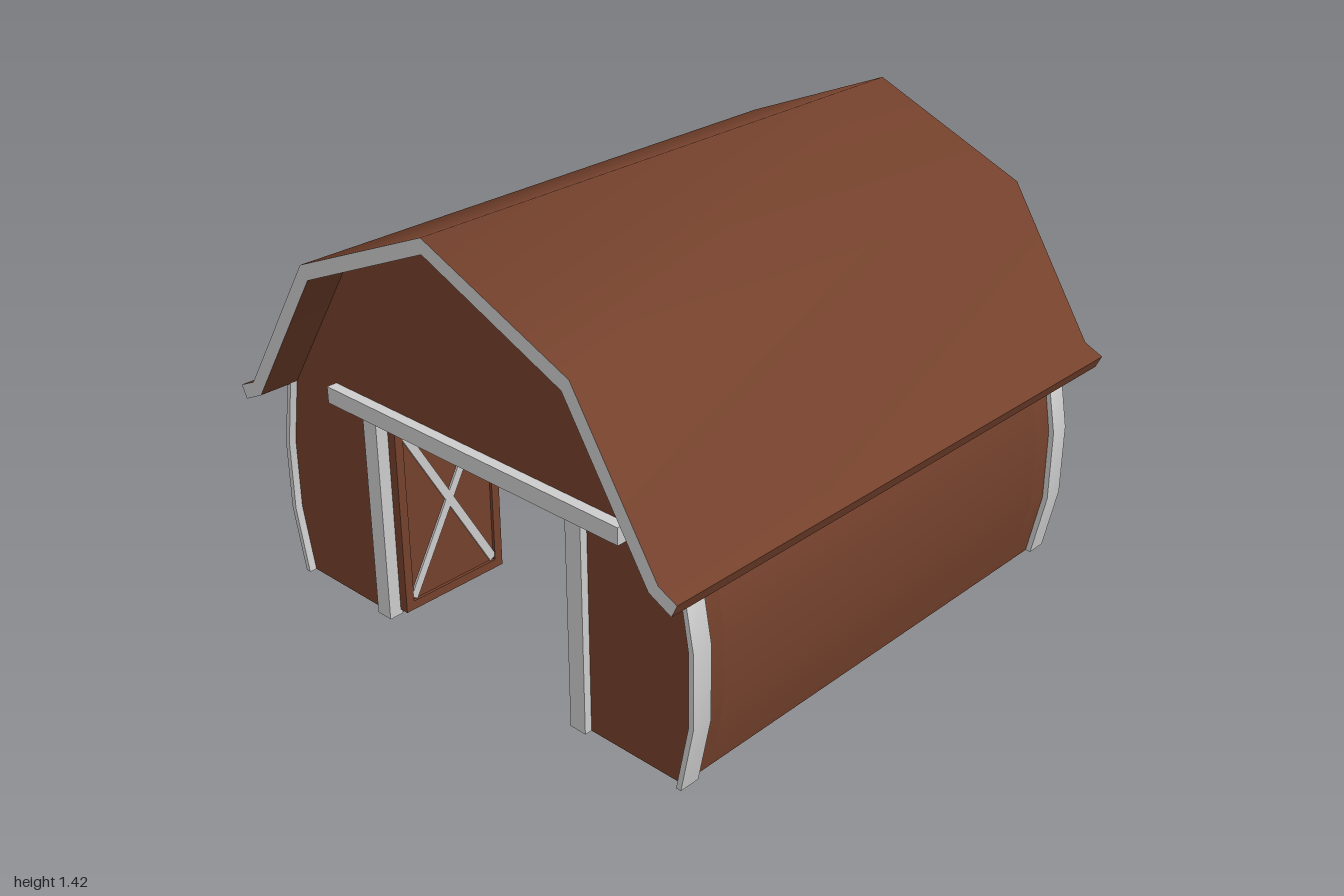
import * as THREE from 'three';
import { toCreasedNormals } from 'three/addons/utils/BufferGeometryUtils.js';

export function createModel() {
  const barn = new THREE.Group();
  barn.name = 'barn';
  const mat = (name, color) => {
    const m = new THREE.MeshStandardMaterial({ color });
    m.name = name;
    return m;
  };
  const brown = mat('barn brown', 0x74412c);
  const grey = mat('trim grey', 0xcccccc);

  const add = (name, geometry, material, parent = barn) => {
    const mesh = new THREE.Mesh(geometry, material);
    mesh.name = name;
    parent.add(mesh);
    return mesh;
  };
  // box given by its two extreme corners
  const box = (name, [x0, y0, z0], [x1, y1, z1], material, parent) => {
    const mesh = add(name, new THREE.BoxGeometry(Math.abs(x1 - x0), Math.abs(y1 - y0), Math.abs(z1 - z0)), material, parent);
    mesh.position.set((x0 + x1) / 2, (y0 + y1) / 2, (z0 + z1) / 2);
    return mesh;
  };
  // xy outline drawn out between two z positions
  const prism = (name, points, z0, z1, material) => {
    const shape = new THREE.Shape(points.map(([x, y]) => new THREE.Vector2(x, y)));
    const geo = new THREE.ExtrudeGeometry(shape, { depth: z1 - z0, bevelEnabled: false });
    geo.translate(0, 0, z0);
    return add(name, toCreasedNormals(geo, 0.9), material);
  };
  const flip = (points, s = -1) => points.map(([x, y]) => [s * x, y]);
  const mirrored = (points) => [...points, ...flip(points).reverse()];

  // gambrel roof with flared eaves; its end faces are grey
  const roofOuter = [[0.925, 0.685], [0.86, 0.715], [0.555, 1.19]];
  const roofInner = [[0.905, 0.643], [0.825, 0.682], [0.525, 1.15]];
  prism('roof', [
    ...roofOuter, [0, 1.423], ...flip(roofOuter).reverse(),
    ...flip(roofInner), [0, 1.375], ...[...roofInner].reverse(),
  ], -1, 1, [grey, brown]);

  // bowed wall edge shared by the gables, side walls and corner trim
  const wallEdge = [[0.818, 0], [0.863, 0.22], [0.863, 0.46], [0.823, 0.69]];
  const trimEdge = [[0.836, 0], [0.881, 0.22], [0.881, 0.46], [0.84, 0.68]];
  const wallZ = 0.865, innerZ = 0.75, trimZ = 0.89;

  // gable outline with the doorway cut into its foot
  const gable = [...wallEdge, [0.525, 1.152], [0, 1.377],
    ...flip([...wallEdge, [0.525, 1.152]]).reverse(),
    [-0.41, 0], [-0.41, 0.7], [0.41, 0.7], [0.41, 0]];

  for (const s of [1, -1]) {
    prism('sideWall', flip([...wallEdge, [0.785, 0.748], [0.785, 0]], s), -innerZ, innerZ, brown);

    // side lofts with a grey beam along the edge
    box('loftFloor', [s * 0.46, 0.69, -innerZ], [s * 0.8, 0.72, innerZ], brown);
    box('loftBeam', [s * 0.405, 0.69, -innerZ], [s * 0.465, 0.745, innerZ], grey);
  }

  for (const e of [1, -1]) {
    const span = (a, b) => [Math.min(e * a, e * b), Math.max(e * a, e * b)];
    prism('gableWall', gable, ...span(innerZ, wallZ), brown);
    box('doorLintel', [-0.618, 0.69, e * 0.83], [0.618, 0.745, e * 0.9], grey);
    box('innerLintel', [-0.465, 0.69, e * 0.72], [0.465, 0.745, e * 0.76], grey);

    for (const s of [1, -1]) {
      prism('cornerTrim', flip([...trimEdge, ...[...wallEdge].reverse()], s), ...span(0.82, trimZ), grey);
      box('doorPost', [s * 0.405, 0, e * 0.84], [s * 0.465, 0.69, e * trimZ], grey);
      box('innerDoorPost', [s * 0.405, 0, e * 0.72], [s * 0.465, 0.69, e * 0.76], grey);
      barn.add(makeDoor(s, e));
    }
  }

  // door leaf swung inward: panel, frame and crossed braces
  function makeDoor(s, e) {
    const door = new THREE.Group();
    door.name = 'door';
    const y0 = 0.02, y1 = 0.677, z0 = 0.45, z1 = 0.85, f = 0.03;
    const x0 = s * 0.37, x1 = s * 0.402;
    box('doorPanel', [s * 0.38, y0 + 0.01, e * (z0 + 0.01)], [s * 0.392, y1 - 0.01, e * (z1 - 0.01)], brown, door);
    for (const y of [y0, y1 - f]) box('doorRail', [x0, y, e * z0], [x1, y + f, e * z1], brown, door);
    for (const z of [z0, z1 - f]) box('doorStile', [x0, y0 + f, e * z], [x1, y1 - f, e * (z + f)], brown, door);
    const h = y1 - y0 - 2 * f, w = z1 - z0 - 2 * f;
    for (const t of [1, -1]) {
      const brace = add('doorBrace', new THREE.BoxGeometry(0.026, Math.hypot(h, w) - 0.02, 0.028), grey, door);
      brace.position.set(s * 0.386, (y0 + y1) / 2, e * (z0 + z1) / 2);
      brace.rotation.x = t * Math.atan2(w, h);
    }
    return door;
  }

  return barn;
}
